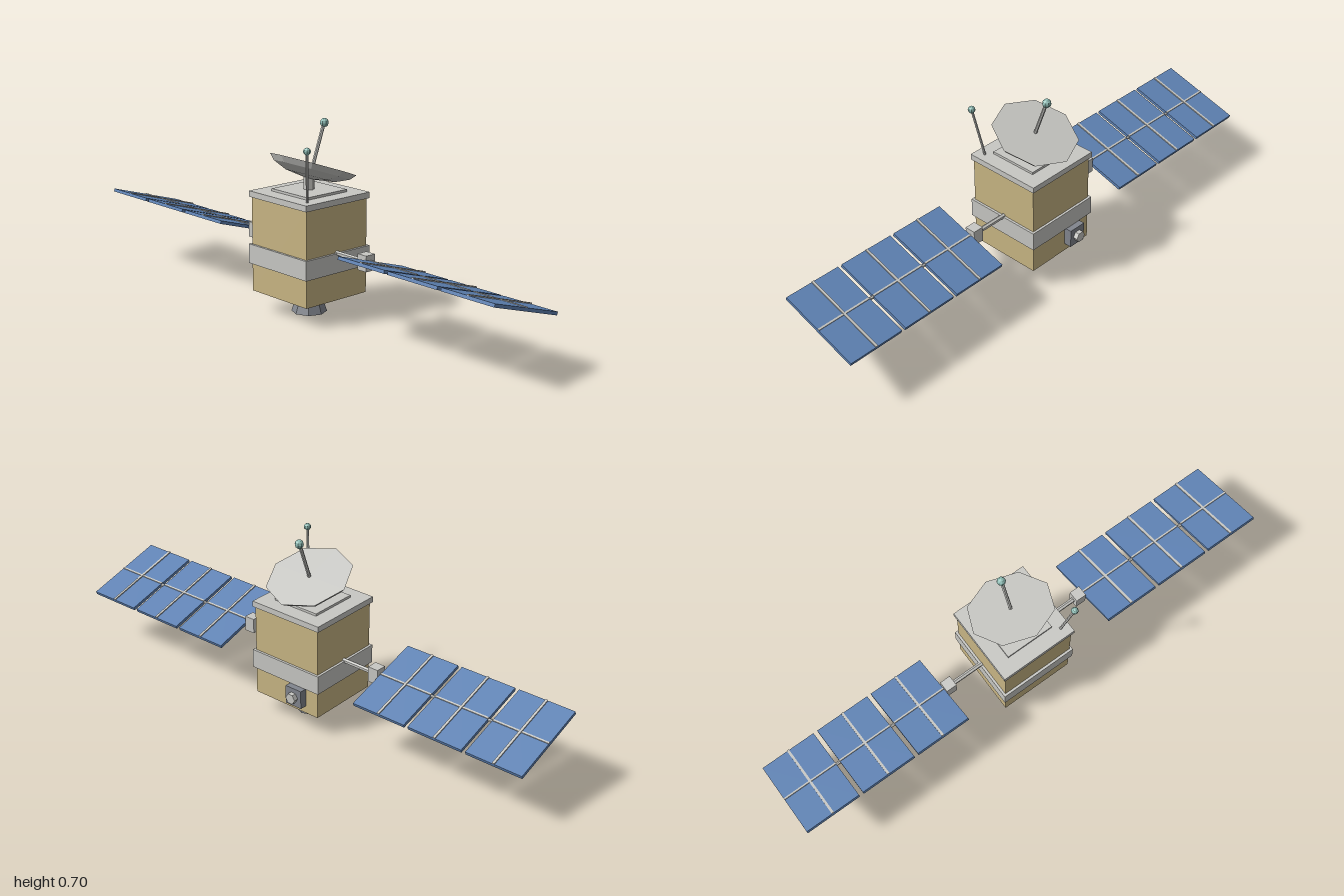
import * as THREE from 'three';

const mat = (name, color) => {
  const m = new THREE.MeshStandardMaterial({ color });
  m.name = name;
  return m;
};

export function createModel() {
  const gold = mat('gold foil', 0xc9b684);
  const light = mat('light grey', 0xc8c8c4);
  const steel = mat('steel grey', 0x82868e);
  const blue = mat('solar blue', 0x5f83b5);
  const teal = mat('pale teal', 0x8fbdb5);

  const root = new THREE.Group();
  root.name = 'satellite';
  const CX = -0.017; // body axis
  const TILT = -0.3; // solar wing pitch

  // Faceted mesh
  const add = (name, geo, material, x, y, z, parent = root) => {
    const g = geo.index ? geo.toNonIndexed() : geo;
    g.computeVertexNormals();
    const m = new THREE.Mesh(g, material);
    m.name = name;
    m.position.set(x, y, z);
    parent.add(m);
    return m;
  };
  const box = (name, w, h, d, material, x, y, z, parent) =>
    add(name, new THREE.BoxGeometry(w, h, d), material, x, y, z, parent);

  // Rod between two points
  const rod = (name, a, b, r, material) => {
    const p = new THREE.Vector3(...a), q = new THREE.Vector3(...b);
    const dir = q.clone().sub(p);
    const mid = p.clone().add(q).multiplyScalar(0.5);
    const m = add(name, new THREE.CylinderGeometry(r, r, dir.length(), 6), material, mid.x, mid.y, mid.z);
    m.quaternion.setFromUnitVectors(new THREE.Vector3(0, 1, 0), dir.normalize());
    return m;
  };

  // Body, belt and roof plates
  box('body', 0.29, 0.353, 0.29, gold, CX, 0.2505, 0);
  box('belt', 0.308, 0.072, 0.308, light, CX, 0.214, 0);
  box('roofPlate', 0.305, 0.022, 0.305, light, CX, 0.436, 0);
  box('dishBase', 0.19, 0.01, 0.19, light, CX, 0.451, 0);

  // Thruster
  add('thruster', new THREE.CylinderGeometry(0.04, 0.065, 0.075, 8), steel, CX, 0.0375, 0);

  // Dish with mast and feed
  add('dishMast', new THREE.CylinderGeometry(0.02, 0.02, 0.055, 6), light, CX, 0.4825, 0);
  const dish = new THREE.Group();
  dish.name = 'dishAssembly';
  dish.position.set(0.0025, 0.5435, 0);
  dish.rotation.z = -THREE.MathUtils.degToRad(20);
  root.add(dish);
  const profile = [[0, -0.055], [0.09, -0.043], [0.14, -0.021], [0.159, 0], [0, 0]]
    .map(([r, y]) => new THREE.Vector2(r, y));
  add('dish', new THREE.LatheGeometry(profile, 8), light, 0, 0, 0, dish);
  add('feedRod', new THREE.CylinderGeometry(0.0065, 0.0065, 0.154, 6), light, 0, 0.077, 0, dish);
  const feedTip = add('feedTip', new THREE.SphereGeometry(0.0165, 8, 6), teal, 0.056, 0.687, 0);
  feedTip.rotation.y = Math.PI / 8;

  // Whip antenna on the roof corner
  rod('whipAntenna', [-0.133, 0.447, 0.118], [-0.162, 0.636, 0.149], 0.005, light);
  add('whipTip', new THREE.SphereGeometry(0.0135, 8, 6), teal, -0.162, 0.636, 0.149);

  // Sensor on the side
  box('sensorBox', 0.032, 0.071, 0.071, steel, 0.142, 0.14, -0.057);
  const lens = add('sensorLens', new THREE.CylinderGeometry(0.021, 0.021, 0.02, 6), light, 0.1655, 0.14, -0.057);
  lens.rotation.z = -Math.PI / 2;

  // Solar wings, front and back
  for (const s of [1, -1]) {
    rod('wingArm', [CX, 0.249, s * 0.14], [CX, 0.249, s * 0.29], 0.009, light);
    box('wingHinge', 0.042, 0.058, 0.042, light, CX, 0.249, s * 0.293);
    rod('wingSpar', [CX, 0.25, s * 0.3], [CX, 0.25, s * 0.9], 0.006, light);
    const wing = new THREE.Group();
    wing.name = s > 0 ? 'frontWing' : 'backWing';
    wing.position.set(CX, 0.2505, 0);
    wing.rotation.z = TILT;
    root.add(wing);
    for (let i = 0; i < 3; i++) {
      const z = s * (0.423 + i * 0.234);
      box('solarPanel', 0.324, 0.012, 0.218, blue, 0, 0, z, wing);
      box('crossRib', 0.324, 0.004, 0.009, light, 0, 0.008, z, wing);
      box('lengthRib', 0.007, 0.003, 0.218, light, 0, 0.0075, z, wing);
    }
  }
  return root;
}
